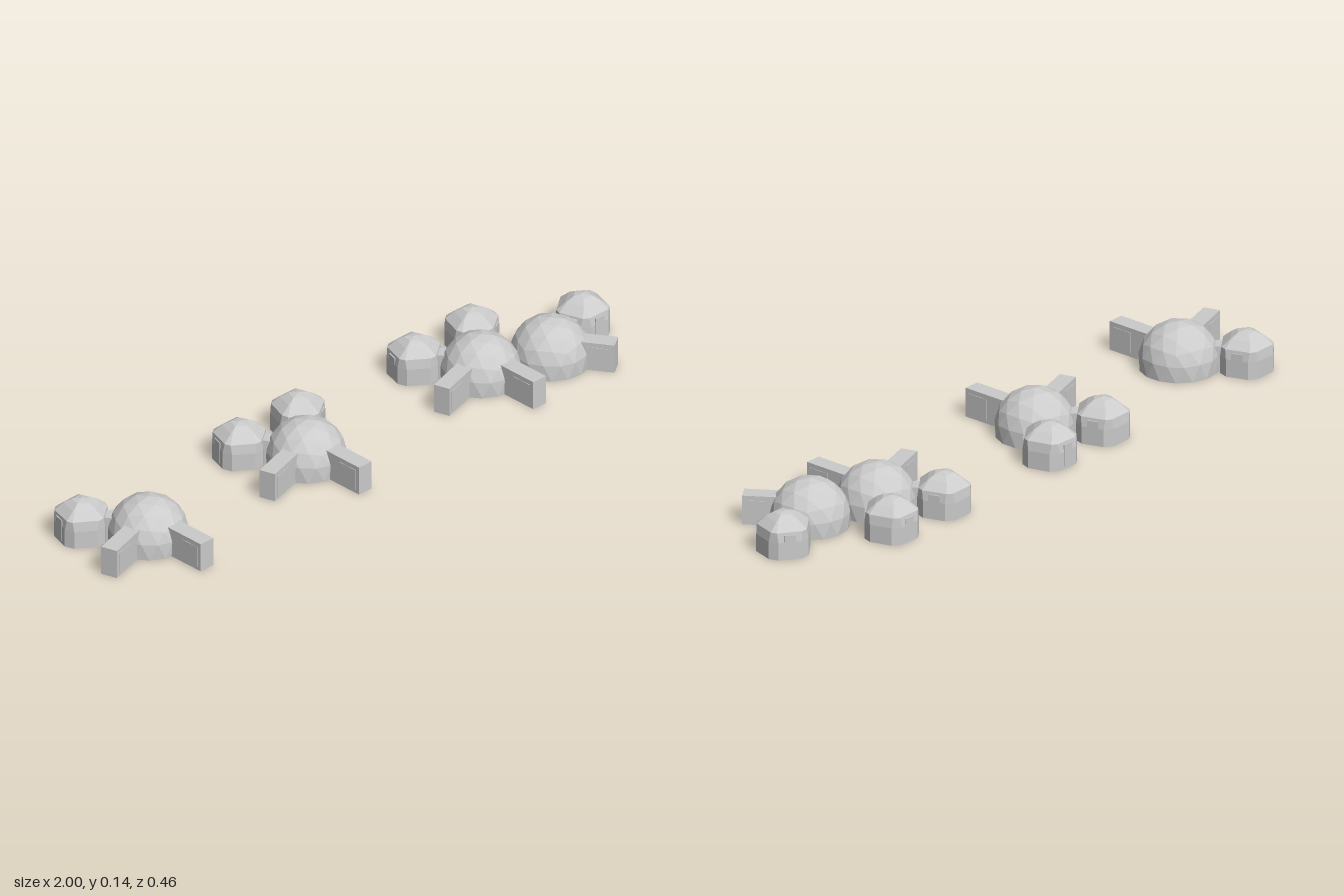
import * as THREE from 'three';

const material = new THREE.MeshStandardMaterial({ color: 0xcccccc, flatShading: true });
const rad = THREE.MathUtils.degToRad;

function addMesh(parent, geometry, name, x = 0, y = 0, z = 0) {
  const mesh = new THREE.Mesh(geometry, material);
  mesh.name = name;
  mesh.position.set(x, y, z);
  parent.add(mesh);
  return mesh;
}

// Faceted hub dome: upper part of a geodesic ball, lower part dropped to a floor
function hubGeometry() {
  const radius = 0.116, centre = 0.027;
  const g = new THREE.IcosahedronGeometry(radius, 2);
  g.rotateZ(Math.atan(2 / (1 + Math.sqrt(5))));
  const p = g.attributes.position;
  for (let i = 0; i < p.count; i++) {
    p.setY(i, p.getY(i) < -0.001 ? 0 : p.getY(i) + centre);
  }
  g.computeVertexNormals();
  return g;
}

// Pod: five wide walls with cut corners that taper into a shallow faceted dome
function podGeometry() {
  // height, corner radius, half angle of a wide wall
  const rings = [
    [0, 0.079, 25], [0.053, 0.079, 25], [0.082, 0.077, 29],
    [0.104, 0.051, 33], [0.117, 0.028, 35.5],
  ];
  const positions = [], index = [];
  for (const [y, r, half] of rings) {
    for (let k = 0; k < 5; k++) {
      for (const side of [-1, 1]) {
        const a = rad(k * 72 + side * half);
        positions.push(r * Math.sin(a), y, r * Math.cos(a));
      }
    }
  }
  const top = rings.length * 10, bottom = top + 1;
  positions.push(0, 0.122, 0, 0, 0, 0);
  for (let i = 0; i < 10; i++) {
    const j = (i + 1) % 10;
    for (let r = 0; r < rings.length - 1; r++) {
      const a = r * 10 + i, b = r * 10 + j;
      index.push(a, b, b + 10, a, b + 10, a + 10);
    }
    index.push(top - 10 + i, top - 10 + j, top, j, i, bottom);
  }
  const g = new THREE.BufferGeometry();
  g.setAttribute('position', new THREE.Float32BufferAttribute(positions, 3));
  g.setIndex(index);
  const flat = g.toNonIndexed();
  flat.computeVertexNormals();
  return flat;
}

const hubShape = hubGeometry();
const podShape = podGeometry();

// Entrance tunnel reaching out from a hub, with framed side and end panels
function addEntrance(parent, hub, angle, reach, shift = 0) {
  const group = new THREE.Group();
  group.name = 'entranceTunnel';
  group.position.set(hub[0] + shift, 0, hub[1]);
  group.rotation.y = rad(angle);
  const start = 0.08, length = reach - start;
  addMesh(group, new THREE.BoxGeometry(0.05, 0.088, length), 'tunnelBody', 0, 0.044, start + length / 2);
  for (const side of [-1, 1]) {
    addMesh(group, new THREE.BoxGeometry(0.002, 0.064, 0.065), 'tunnelSidePanel',
      side * 0.0255, 0.042, reach - 0.045);
  }
  parent.add(group);
}

// Pod turned so that one wide wall meets its hub
function addPod(parent, hub, x, z) {
  const group = new THREE.Group();
  group.name = 'pod';
  group.position.set(x, 0, z);
  group.rotation.y = Math.atan2(hub[0] - x, hub[1] - z);
  addMesh(group, podShape, 'podShell');
  addMesh(group, new THREE.BoxGeometry(0.045, 0.076, 0.05), 'podPassage', 0, 0.038, 0.085);
  // Framed panels on two of the wide walls
  for (const wall of [1, 3]) {
    const holder = new THREE.Group();
    holder.name = 'wallPanelHolder';
    holder.rotation.y = rad(wall * 72);
    addMesh(holder, new THREE.BoxGeometry(0.034, 0.064, 0.003), 'wallPanel', 0, 0.042, 0.071);
    group.add(holder);
  }
  parent.add(group);
}

function addHub(parent, hub) {
  addMesh(parent, hubShape, 'hubDome', hub[0], 0, hub[1]);
}

export function createModel() {
  const model = new THREE.Group();
  model.name = 'domeHabitats';

  // Each cluster: main hub and its pods
  const clusters = [
    { name: 'smallCluster', hub: [-0.775, -0.016], pods: [[-0.89, -0.166]] },
    { name: 'mediumCluster', hub: [-0.157, -0.014], pods: [[-0.27, -0.166], [-0.042, -0.166]] },
    { name: 'largeCluster', hub: [0.527, -0.015], pods: [[0.414, -0.166], [0.64, -0.166]] },
  ];
  for (const { name, hub, pods } of clusters) {
    const cluster = new THREE.Group();
    cluster.name = name;
    addHub(cluster, hub);
    addEntrance(cluster, hub, -73, 0.228);
    addEntrance(cluster, hub, 0, 0.228, 0.01);
    for (const [x, z] of pods) addPod(cluster, hub, x, z);
    model.add(cluster);
  }

  // Second hub of the large cluster, with its own entrance and pod
  const large = model.children[2];
  const second = [0.733, 0.054];
  addHub(large, second);
  addEntrance(large, second, 34, 0.19);
  addPod(large, second, 0.917, -0.008);
  return model;
}
